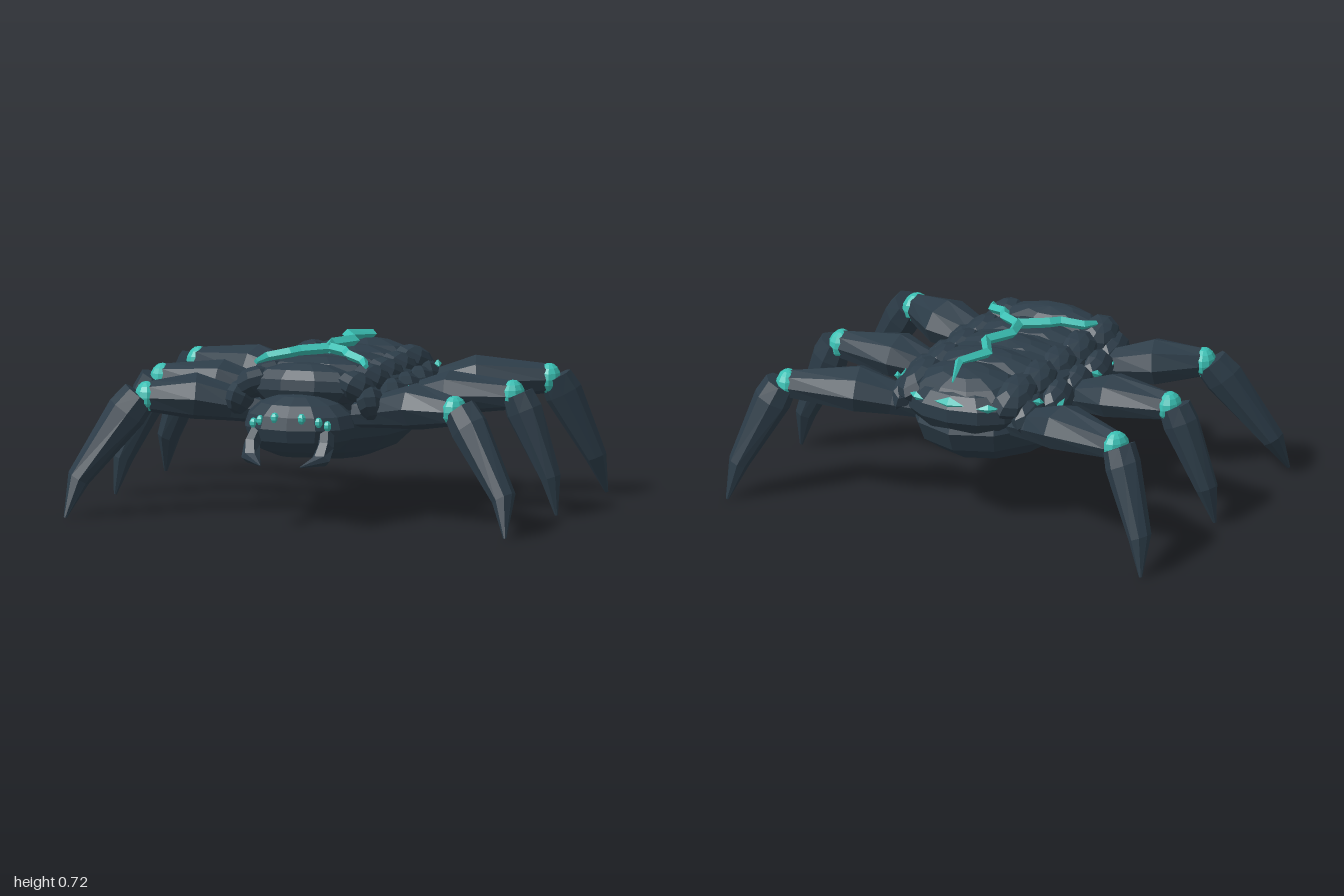
import * as THREE from 'three';

const shell = new THREE.MeshStandardMaterial({ color: 0x2c3c48, flatShading: true });
shell.name = 'dark slate shell';
const glow = new THREE.MeshStandardMaterial({ color: 0x3abfb3, flatShading: true });
glow.name = 'teal glow';

const Y = new THREE.Vector3(0, 1, 0);

// Loft of n-sided rings; each row is [x, y, z, half width, half height]
function loft(rows, n, fixedSide) {
  const centres = rows.map((r) => new THREE.Vector3(r[0], r[1], r[2]));
  const pos = [], idx = [];
  rows.forEach((r, i) => {
    const t = centres[Math.min(i + 1, rows.length - 1)].clone().sub(centres[Math.max(i - 1, 0)]).normalize();
    const s = fixedSide ? fixedSide.clone() : t.clone().cross(Y).normalize();
    const u = s.clone().cross(t).normalize();
    for (let j = 0; j < n; j++) {
      const a = (j / n) * Math.PI * 2;
      const p = centres[i].clone().addScaledVector(s, Math.cos(a) * r[3]).addScaledVector(u, Math.sin(a) * r[4]);
      pos.push(p.x, p.y, p.z);
    }
  });
  const last = (rows.length - 1) * n;
  for (let j = 0; j < n; j++) {
    const k = (j + 1) % n;
    for (let i = 0; i < last; i += n) {
      idx.push(i + j, i + n + j, i + k, i + k, i + n + j, i + n + k);
    }
    if (j > 0 && j < n - 1) idx.push(0, j, k, last, last + k, last + j);
  }
  const g = new THREE.BufferGeometry();
  g.setAttribute('position', new THREE.Float32BufferAttribute(pos, 3));
  g.setIndex(idx);
  g.computeVertexNormals();
  return g;
}

function add(parent, name, geometry, material) {
  const m = new THREE.Mesh(geometry, material);
  m.name = name;
  parent.add(m);
  return m;
}

// Low-poly ellipsoid
function blob(parent, name, c, r, material = shell, w = 10, h = 7) {
  const m = add(parent, name, new THREE.SphereGeometry(1, w, h), material);
  m.position.set(...c);
  m.scale.set(...r);
  return m;
}

// Small glowing shard, stretched along z before rotation
function shard(parent, name, c, r, yaw, pitch = 0) {
  const m = add(parent, name, new THREE.OctahedronGeometry(1), glow);
  m.position.set(...c);
  m.scale.set(...r);
  m.rotation.set(pitch, yaw, 0, 'YXZ');
}

function makeLeg(name, sx, upper, lower) {
  const leg = new THREE.Group();
  leg.name = name;
  const flip = (rows) => rows.map(([x, ...rest]) => [sx * x, ...rest]);
  const a = upper[1], b = upper[upper.length - 1];
  const dir = new THREE.Vector3(sx * (b[0] - a[0]), 0, b[2] - a[2]).normalize();
  const side = dir.clone().cross(Y);
  add(leg, 'upperLeg', loft(flip(upper), 8, side), shell);
  add(leg, 'lowerLeg', loft(flip(lower), 8, side), shell);
  // Glowing joint peeping out between the two segments
  const joint = blob(leg, 'kneeJoint', [sx * b[0], b[1], b[2]], [0.066, 0.066, 0.052], glow, 10, 8);
  joint.position.addScaledVector(dir, 0.012);
  joint.quaternion.setFromUnitVectors(new THREE.Vector3(0, 0, 1), dir);
  return leg;
}

export function createModel() {
  const model = new THREE.Group();
  model.name = 'armouredBeetle';

  // Body core
  blob(model, 'belly', [0, 0.43, -0.08], [0.36, 0.222, 0.51], shell, 12, 8);
  blob(model, 'backCore', [0, 0.525, -0.05], [0.345, 0.138, 0.52], shell, 12, 8);
  blob(model, 'rearShell', [0, 0.52, -0.42], [0.27, 0.13, 0.19], shell, 12, 7);

  // Overlapping back plates, front edge raised: [z, half width, half depth, flank x]
  const plates = [[0.38, 0.25, 0.13, 0.29], [0.16, 0.27, 0.15, 0.325], [-0.03, 0.27, 0.15, 0.325],
    [-0.21, 0.27, 0.15, 0.325], [-0.41, 0.25, 0.17, 0.29]];
  plates.forEach(([z, w, d, fx]) => {
    blob(model, 'backPlate', [0, 0.575, z], [w, 0.103, d]).rotation.x = -0.15;
    for (const sx of [-1, 1]) {
      blob(model, 'shoulderPlate', [sx * 0.225, 0.582, z], [0.085, 0.066, d * 0.88], shell, 8, 6).rotation.set(-0.25, 0, -sx * 0.4);
      blob(model, 'flankPlate', [sx * fx, 0.515, z], [0.06, 0.078, 0.11], shell, 8, 6).rotation.set(-0.35, 0, sx * 0.3);
    }
  });

  // Head, eyes and jaws
  blob(model, 'head', [0, 0.42, 0.47], [0.245, 0.14, 0.185], shell, 12, 8);
  const jawSide = new THREE.Vector3(1, 0, 0);
  for (const sx of [-1, 1]) {
    for (const [x, y, r] of [[0.06, 0.47, 0.022], [0.13, 0.455, 0.021], [0.165, 0.44, 0.021]]) {
      const z = 0.465 + 0.18 * Math.sqrt(1 - (x / 0.245) ** 2 - ((y - 0.42) / 0.14) ** 2);
      blob(model, 'eye', [sx * x, y, z], [r * 0.85, r * 1.1, r], glow, 6, 5);
    }
    const jaw = [[0.15, 0.41, 0.56, 0.035, 0.045], [0.165, 0.35, 0.62, 0.036, 0.045],
      [0.155, 0.3, 0.665, 0.042, 0.03], [0.09, 0.28, 0.738, 0.003, 0.003]];
    add(model, 'jaw', loft(jaw.map(([x, ...r]) => [sx * x, ...r]), 6, jawSide), shell);
  }

  // Legs: rows run from body to knee, then knee to tip
  const legs = {
    front: [
      [[0.22, 0.46, 0.33, 0.06, 0.06], [0.34, 0.48, 0.345, 0.085, 0.075], [0.5, 0.51, 0.375, 0.125, 0.1], [0.675, 0.51, 0.455, 0.062, 0.066]],
      [[0.715, 0.515, 0.465, 0.07, 0.078], [0.765, 0.445, 0.49, 0.076, 0.088], [0.95, 0.165, 0.585, 0.06, 0.05], [0.982, 0.006, 0.67, 0.007, 0.007]]],
    middle: [
      [[0.22, 0.46, -0.05, 0.05, 0.06], [0.36, 0.48, -0.05, 0.07, 0.07], [0.51, 0.51, -0.05, 0.125, 0.095], [0.77, 0.51, -0.055, 0.06, 0.064]],
      [[0.805, 0.515, -0.052, 0.07, 0.072], [0.835, 0.445, -0.052, 0.075, 0.082], [0.955, 0.165, -0.045, 0.053, 0.046], [0.985, 0.006, -0.03, 0.007, 0.007]]],
    rear: [
      [[0.2, 0.46, -0.4, 0.06, 0.06], [0.34, 0.48, -0.43, 0.085, 0.075], [0.49, 0.51, -0.47, 0.125, 0.1], [0.77, 0.51, -0.555, 0.062, 0.064]],
      [[0.805, 0.515, -0.572, 0.07, 0.072], [0.835, 0.445, -0.595, 0.075, 0.082], [0.955, 0.165, -0.672, 0.055, 0.046], [0.985, 0.006, -0.725, 0.007, 0.007]]],
  };
  for (const [name, [upper, lower]] of Object.entries(legs)) {
    model.add(makeLeg(name + 'LeftLeg', 1, upper, lower), makeLeg(name + 'RightLeg', -1, upper, lower));
  }

  // Forked glowing ridge along the back
  const spine = [[0, 0.657, -0.55, 0.004, 0.004], [0.045, 0.69, -0.4, 0.02, 0.02], [-0.03, 0.7, -0.28, 0.023, 0.024],
    [0.045, 0.698, -0.15, 0.023, 0.024], [-0.02, 0.698, -0.03, 0.023, 0.024], [0.01, 0.696, 0.09, 0.024, 0.024]];
  add(model, 'spineRidge', loft(spine, 4), glow);
  const forks = [
    [[0.01, 0.696, 0.08, 0.02, 0.023], [0.1, 0.692, 0.135, 0.022, 0.023], [0.13, 0.688, 0.195, 0.022, 0.022], [0.21, 0.672, 0.24, 0.021, 0.02], [0.245, 0.66, 0.315, 0.012, 0.012]],
    [[0.01, 0.696, 0.08, 0.02, 0.023], [-0.1, 0.692, 0.16, 0.022, 0.023], [-0.13, 0.688, 0.205, 0.022, 0.022], [-0.22, 0.672, 0.245, 0.021, 0.02], [-0.245, 0.66, 0.315, 0.012, 0.012]],
  ];
  forks.forEach((rows) => add(model, 'forkRidge', loft(rows, 4), glow));

  // Glowing slivers between the plates
  for (const sx of [-1, 1]) {
    shard(model, 'flankSliver', [sx * 0.345, 0.52, 0.25], [0.018, 0.03, 0.06], -sx * 0.7, 0.3);
    shard(model, 'flankSliver', [sx * 0.365, 0.535, 0.08], [0.016, 0.018, 0.035], sx * 0.5, 0.4);
    shard(model, 'flankSliver', [sx * 0.372, 0.52, -0.275], [0.016, 0.018, 0.04], sx * 0.2, -0.6);
    shard(model, 'flankSliver', [sx * 0.335, 0.575, -0.405], [0.016, 0.018, 0.032], sx * 0.5, 0.3);
    shard(model, 'rearSliver', [sx * 0.17, 0.565, -0.555], [0.016, 0.02, 0.05], sx * 1.1);
  }
  shard(model, 'rearSliver', [0, 0.57, -0.582], [0.07, 0.03, 0.024], 0);
  return model;
}
